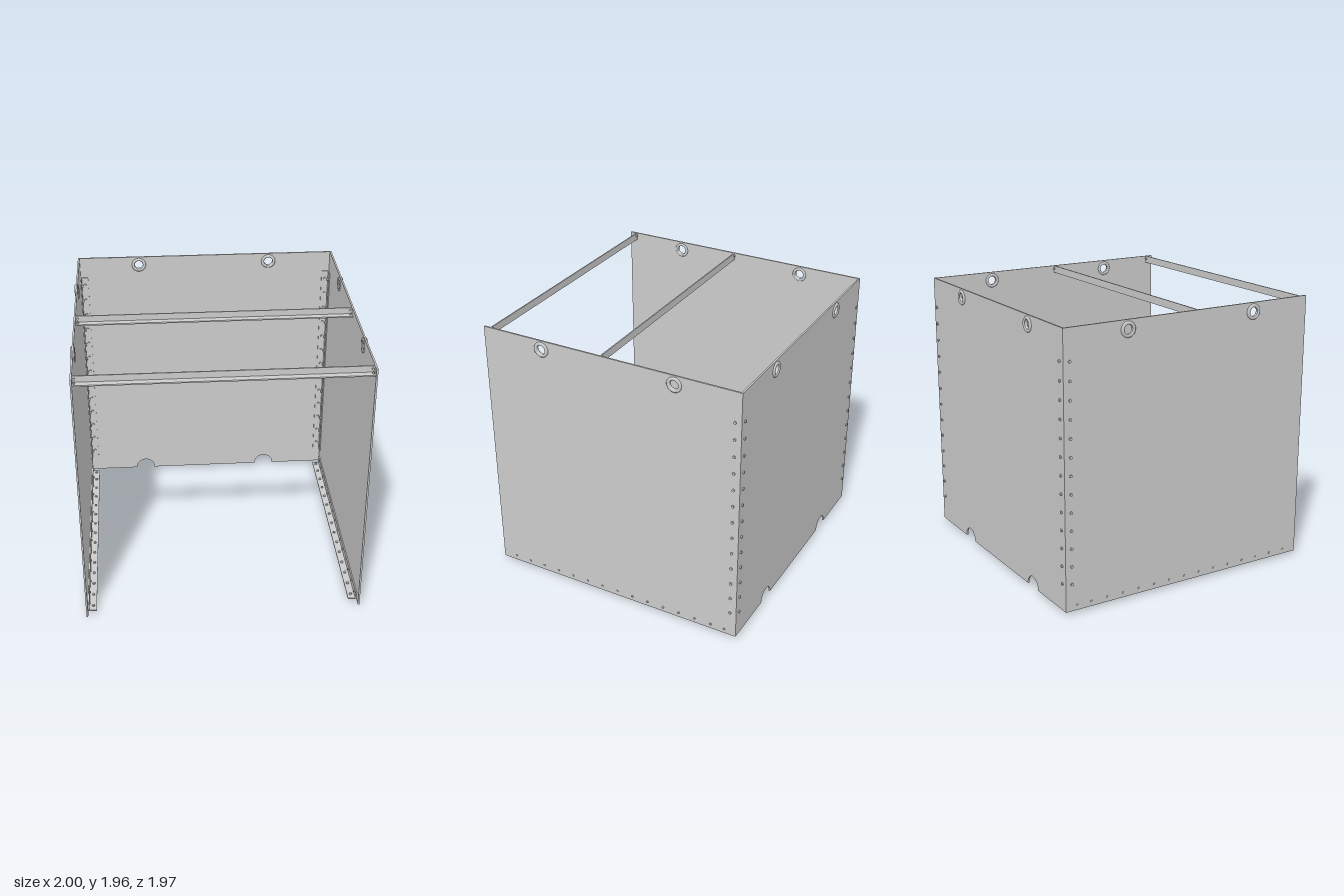
import * as THREE from 'three';

const material = new THREE.MeshStandardMaterial({ color: 0xcccccc });
const T = 0.012;                       // sheet thickness
const BOTTOM = 0.021, TOP = 1.96;      // panel edges
const FRONT = 0.983, BACK = -0.973;
const OUTER = 0.988, INNER = OUTER - T;
const HOLE_Y = 1.895, PITCH = 0.127;

function add(parent, name, geometry, x = 0, y = 0, z = 0) {
  const mesh = new THREE.Mesh(geometry, material);
  mesh.name = name;
  mesh.position.set(x, y, z);
  parent.add(mesh);
  return mesh;
}

// Box given by its low and high corners
function slab(parent, name, [x0, y0, z0], [x1, y1, z1]) {
  return add(parent, name, new THREE.BoxGeometry(x1 - x0, y1 - y0, z1 - z0),
    (x0 + x1) / 2, (y0 + y1) / 2, (z0 + z1) / 2);
}

// Upright sheet with round holes near the top and half-round notches below
function panelGeometry(x0, x1, holes, notches = []) {
  const shape = new THREE.Shape();
  shape.moveTo(x0, BOTTOM);
  for (const n of notches) {
    shape.lineTo(n - 0.075, BOTTOM);
    shape.absarc(n, BOTTOM + 0.003, 0.075, Math.PI, 0, true);
    shape.lineTo(n + 0.075, BOTTOM);
  }
  shape.lineTo(x1, BOTTOM);
  shape.lineTo(x1, TOP);
  shape.lineTo(x0, TOP);
  shape.closePath();
  for (const h of holes) {
    shape.holes.push(new THREE.Path().absarc(h, HOLE_Y, 0.036, 0, Math.PI * 2, true));
  }
  return new THREE.ExtrudeGeometry(shape, { depth: T, bevelEnabled: false, curveSegments: 24 });
}

// Rounded ring clipped around a cable hole, axis along z
const grommetGeometry = new THREE.LatheGeometry([
  [0.032, -0.009], [0.036, -0.015], [0.048, -0.015], [0.055, -0.008],
  [0.055, 0.008], [0.048, 0.015], [0.036, 0.015], [0.032, 0.009], [0.032, -0.009],
].map(([r, y]) => new THREE.Vector2(r, y)), 32).rotateX(Math.PI / 2);

// Bolt along a chosen axis
function bolt(parent, axis, x, y, z, length = 0.04, radius = 0.01) {
  const mesh = add(parent, 'bolt', new THREE.CylinderGeometry(radius, radius, length, 10), x, y, z);
  if (axis === 'x') mesh.rotation.z = Math.PI / 2;
  if (axis === 'z') mesh.rotation.x = Math.PI / 2;
}

// One side wall with its floor rail and rear corner bracket
function sideWall(s) {
  const wall = new THREE.Group();
  wall.name = s > 0 ? 'leftWall' : 'rightWall';
  const span = (name, a, b, y0, y1, z0, z1) =>
    slab(wall, name, [Math.min(s * a, s * b), y0, z0], [Math.max(s * a, s * b), y1, z1]);

  const holes = [0.518, -0.493];
  const panel = add(wall, 'sidePanel', panelGeometry(-FRONT, -BACK, holes.map(z => -z)),
    s > 0 ? INNER : -OUTER);
  panel.rotation.y = Math.PI / 2;
  for (const z of holes) {
    add(wall, 'grommet', grommetGeometry, s * 0.985, HOLE_Y, z).rotation.y = Math.PI / 2;
  }

  // Floor rail, an L section bolted to the wall
  span('railFlange', 0.915, INNER, BOTTOM, BOTTOM + 0.009, -0.92, 0.92);
  span('railWeb', INNER - 0.009, INNER, BOTTOM, 0.083, -0.92, 0.92);
  for (let i = 0; i < 15; i++) {
    const z = 0.873 - i * PITCH + (i === 14 ? 0.02 : 0);
    bolt(wall, 'y', s * 0.94, 0.02, z);
    bolt(wall, 'x', s * 0.977, 0.057, z, 0.036, 0.008);
  }

  // Rear corner bracket, bolted to the side and the back
  const zIn = BACK + T;
  span('bracketSide', INNER - 0.008, INNER, 0.15, 1.8, zIn, zIn + 0.058);
  span('bracketBack', 0.918, INNER, 0.15, 1.8, zIn, zIn + 0.008);
  for (let i = 0; i < 13; i++) {
    const y = 0.217 + i * PITCH;
    bolt(wall, 'x', s * 0.977, y, -0.927, 0.04);
    bolt(wall, 'z', s * 0.945, y, -0.962, 0.04);
  }
  return wall;
}

// Cross beam, an L section open to the front and top
function crossBeam(name, z0) {
  const beam = new THREE.Group();
  beam.name = name;
  slab(beam, 'beamWeb', [-INNER, 1.908, z0], [INNER, TOP, z0 + 0.009]);
  slab(beam, 'beamFlange', [-INNER, 1.906, z0], [INNER, 1.915, z0 + 0.054]);
  for (const s of [-1, 1]) {
    bolt(beam, 'y', s * 0.963, 1.912, z0 + 0.03, 0.026, 0.008);
    bolt(beam, 'z', s * 0.963, 1.94, z0 + 0.005, 0.026, 0.008);
  }
  return beam;
}

export function createModel() {
  const model = new THREE.Group();
  model.name = 'openEnclosure';
  model.add(sideWall(1), sideWall(-1));

  // Back wall
  const back = new THREE.Group();
  back.name = 'backWall';
  const holes = [-0.52, 0.492];
  add(back, 'backPanel', panelGeometry(-INNER, INNER, holes, holes), 0, 0, BACK);
  for (const x of holes) add(back, 'grommet', grommetGeometry, x, HOLE_Y, -0.968);
  model.add(back);

  // Beams between the side walls
  model.add(crossBeam('frontBeam', 0.926), crossBeam('middleBeam', 0.053));
  return model;
}
